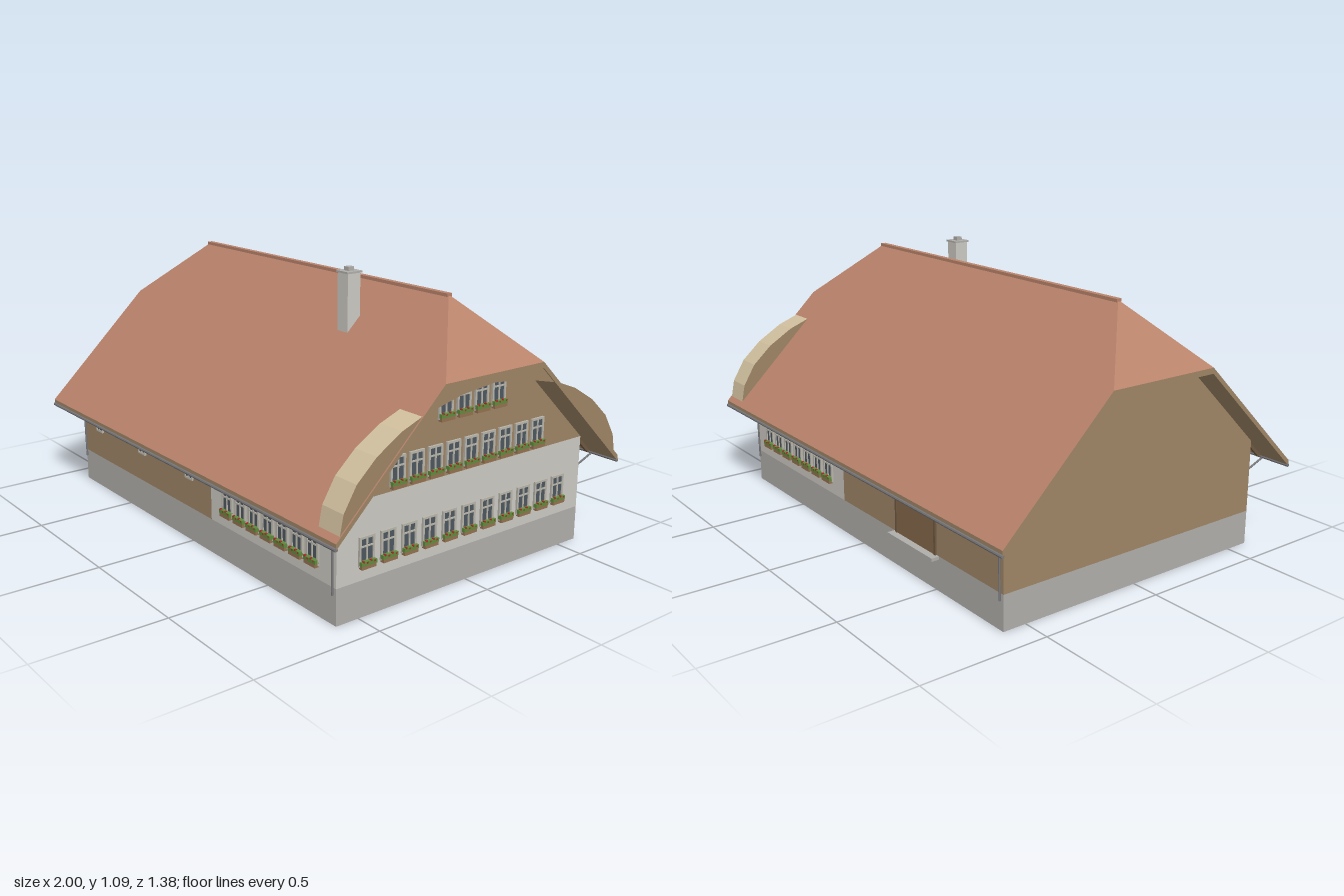
import * as THREE from 'three';

const mat = (color, side = THREE.FrontSide) =>
  new THREE.MeshStandardMaterial({ color, side, flatShading: true });
const DS = THREE.DoubleSide;
const M = {
  roof: mat(0xba836b, DS), wood: mat(0x9e8566, DS), plaster: mat(0xccc9c2, DS),
  stone: mat(0xb0aeaa, DS), cream: mat(0xd0bf9e), frame: mat(0xb8b5aa), glass: mat(0x4c565f),
  box: mat(0x94704f), leaf: mat(0x5f8a3c), flower: mat(0xb02a2a), metal: mat(0x77777a),
  door: mat(0x85694a), beam: mat(0x6e5840),
};

// Wall, roof and eave dimensions
const WX = 0.89, WZ = 0.595, BASE = 0.135, T = 0.022;
const roofY = z => 1.02 - 0.97 * Math.abs(z);
const EZ = 0.685, HZ = 0.235, RX = 0.76;
const WALL_TOP = roofY(WZ) - T;

function add(parent, name, geo, material, x = 0, y = 0, z = 0) {
  const m = new THREE.Mesh(geo, material);
  m.name = name;
  m.position.set(x, y, z);
  parent.add(m);
  return m;
}
const box = (parent, name, material, w, h, d, x, y, z) =>
  add(parent, name, new THREE.BoxGeometry(w, h, d), material, x, y, z);

// Flat convex faces, each a list of corners in counter-clockwise order
function faces(list) {
  const pos = [];
  for (const p of list)
    for (let i = 1; i < p.length - 1; i++) pos.push(...p[0], ...p[i], ...p[i + 1]);
  const g = new THREE.BufferGeometry();
  g.setAttribute('position', new THREE.Float32BufferAttribute(pos, 3));
  g.computeVertexNormals();
  return g;
}
const turn = p => p.map(([x, y, z]) => [-x, y, -z]);
const shapeOf = pts => new THREE.Shape(pts.map(p => new THREE.Vector2(...p)));

function makeRoof() {
  const g = new THREE.Group();
  g.name = 'roof';
  const slope = [[-1, roofY(EZ), EZ], [1, roofY(EZ), EZ], [1, roofY(HZ), HZ],
    [RX, 1.02, 0], [-RX, 1.02, 0], [-1, roofY(HZ), HZ]];
  const hip = [[1, roofY(HZ), HZ], [1, roofY(HZ), -HZ], [RX, 1.02, 0]];
  const top = [slope, turn(slope), hip, turn(hip)];
  add(g, 'roofTiles', faces(top), M.roof);
  const lower = ([x, y, z]) => [x, y - T, z];
  add(g, 'roofUnderside', faces(top.map(p => p.map(lower).reverse())), M.wood);
  const half = [slope[0], slope[1], slope[2]];
  const loop = [...half, ...turn(half)];
  // the outline also passes the second hip corner of each end
  loop.splice(3, 0, hip[1]);
  loop.push(slope[5]);
  add(g, 'roofEdge', faces(loop.map((a, i) => {
    const b = loop[(i + 1) % loop.length];
    return [lower(a), lower(b), b, a];
  })), M.wood);
  box(g, 'ridgeCap', M.roof, 2 * RX + 0.01, 0.012, 0.022, 0, 1.019, 0);

  // Rafter tails, gutters and downpipes along both eaves
  for (const s of [1, -1]) {
    for (let i = 0; i < 25; i++) {
      const r = box(g, 'rafterTail', M.beam, 0.012, 0.014, 0.12,
        -0.87 + i * 0.0725, roofY(0.625) - T - 0.008, s * 0.625);
      r.rotation.x = s * Math.atan(0.97);
    }
    const gutter = add(g, 'gutter', new THREE.CylinderGeometry(0.007, 0.007, 2, 8),
      M.metal, 0, 0.335, s * 0.684);
    gutter.rotation.z = Math.PI / 2;
    for (const x of [-0.877, 0.877]) {
      const pts = [[0.683, 0.331], [0.603, 0.3], [0.601, 0.11]]
        .map(([z, y]) => new THREE.Vector3(x, y, s * z));
      const path = new THREE.CurvePath();
      path.add(new THREE.LineCurve3(pts[0], pts[1]));
      path.add(new THREE.LineCurve3(pts[1], pts[2]));
      add(g, 'downpipe', new THREE.TubeGeometry(path, 24, 0.004, 6), M.metal);
    }
  }
  return g;
}

function makeWalls() {
  const g = new THREE.Group();
  g.name = 'walls';
  const split = 0.14;
  const long = (name, m, x0, x1, y0, y1, z) =>
    add(g, name, faces([z > 0
      ? [[x0, y0, z], [x1, y0, z], [x1, y1, z], [x0, y1, z]]
      : [[x1, y0, z], [x0, y0, z], [x0, y1, z], [x1, y1, z]]]), m);
  for (const z of [WZ, -WZ]) {
    long('baseWall', M.stone, -WX, WX, 0, BASE, z);
    long('timberWall', M.wood, -WX, split, BASE, WALL_TOP, z);
    long('plasterWall', M.plaster, split, WX, BASE, WALL_TOP, z);
  }
  // End walls reach up to the underside of the hips
  const end = (name, m, s, pts) => add(g, name, faces([
    [...pts.map(([z, y]) => [s * WX, y, s * z]),
      ...pts.slice().reverse().map(([z, y]) => [s * WX, y, -s * z])]]), m);
  const gable = [[WZ, WALL_TOP], [0.13, 0.871]].reverse();
  for (const s of [1, -1]) {
    end('endBase', M.stone, s, [[WZ, BASE], [WZ, 0]]);
    end('endWall', s > 0 ? M.plaster : M.wood, s, [[WZ, WALL_TOP], [WZ, BASE]]);
    end('gableWall', M.wood, s, gable);
  }
  return g;
}

// Curved gable canopy: side fillings above the roof and a soffit between them
function makeArch() {
  const g = new THREE.Group();
  g.name = 'gableArch';
  const curve = [[0.685, 0.335], [0.667, 0.37], [0.652, 0.444], [0.6, 0.53],
    [0.519, 0.604], [0.415, 0.667], [0.311, 0.707]];
  const soffit = [[-0.3, 0.707], [-0.15, 0.742], [0, 0.757], [0.15, 0.742], [0.3, 0.707],
    [HZ, 0.772], [-HZ, 0.772]];
  const put = (name, pts, mats) => {
    const geo = new THREE.ExtrudeGeometry(shapeOf(pts), { depth: 0.107, bevelEnabled: false });
    add(g, name, geo, mats, 0.888).rotation.y = Math.PI / 2;
  };
  for (const s of [1, -1])
    put('archSide', curve.map(([z, y]) => [s * z, y]), [M.wood, M.cream]);
  put('archSoffit', soffit, [M.wood, M.wood]);
  return g;
}

// Window frame with two columns and two rows of panes
function frameGeometry(w, h, bar) {
  const rect = (C, x0, y0, x1, y1) => new C([[x0, y0], [x1, y0], [x1, y1], [x0, y1]]
    .map(p => new THREE.Vector2(...p)));
  const s = rect(THREE.Shape, -w / 2, -h / 2, w / 2, h / 2);
  const rows = [[-h / 2 + bar, h * 0.14], [h * 0.14 + bar * 0.7, h / 2 - bar]];
  for (const [y0, y1] of rows) {
    s.holes.push(rect(THREE.Path, -w / 2 + bar, y0, -bar * 0.35, y1));
    s.holes.push(rect(THREE.Path, bar * 0.35, y0, w / 2 - bar, y1));
  }
  return new THREE.ExtrudeGeometry(s, { depth: 0.008, bevelEnabled: false });
}
const tallFrame = frameGeometry(0.066, 0.106, 0.008);
const smallFrame = frameGeometry(0.055, 0.052, 0.007);

function makeWindow(flowers) {
  const g = new THREE.Group();
  g.name = flowers ? 'flowerWindow' : 'smallWindow';
  const [w, h] = flowers ? [0.062, 0.1] : [0.05, 0.047];
  add(g, 'windowFrame', flowers ? tallFrame : smallFrame, M.frame);
  box(g, 'windowGlass', M.glass, w, h, 0.012, 0, 0, -0.002);
  if (flowers) {
    box(g, 'flowerBox', M.box, 0.062, 0.014, 0.016, 0, -0.052, 0.011);
    box(g, 'leaves', M.leaf, 0.066, 0.014, 0.018, 0, -0.039, 0.011);
    for (let i = 0; i < 4; i++)
      box(g, 'blossom', M.flower, 0.006, 0.006, 0.008, -0.024 + i * 0.016, -0.031 - (i % 2) * 0.005, 0.017);
  }
  return g;
}

function makeWindows() {
  const g = new THREE.Group();
  g.name = 'windows';
  const put = (flowers, x, y, z, ry) => {
    const w = makeWindow(flowers);
    w.position.set(x, y, z);
    w.rotation.y = ry;
    g.add(w);
  };
  // Gable rows: count, spacing, height
  for (const [n, step, y] of [[11, 0.094, 0.24], [9, 0.085, 0.491], [4, 0.085, 0.684]])
    for (let i = 0; i < n; i++) put(true, WX, y, (i - (n - 1) / 2) * step, Math.PI / 2);
  // Long walls
  for (let i = 0; i < 7; i++) {
    put(true, 0.256 + i * 0.0855, 0.24, WZ, 0);
    put(true, 0.256 + i * 0.0855, 0.24, -WZ, Math.PI);
  }
  for (const x of [-0.745, -0.375, -0.01]) put(false, x, 0.279, WZ, 0);
  return g;
}

export function createModel() {
  const model = new THREE.Group();
  model.name = 'farmhouse';
  model.add(makeWalls(), makeRoof(), makeArch(), makeWindows());

  // Back door with its frame and step
  const door = new THREE.Group();
  door.name = 'backDoor';
  box(door, 'doorLeaf', M.door, 0.24, 0.18, 0.008, -0.375, 0.225, -WZ);
  for (const x of [-0.5, -0.25]) box(door, 'doorPost', M.beam, 0.01, 0.19, 0.014, x, 0.23, -WZ);
  box(door, 'doorLintel', M.beam, 0.26, 0.01, 0.014, -0.375, 0.32, -WZ);
  box(door, 'doorStep', M.stone, 0.29, 0.012, 0.032, -0.375, 0.129, -WZ - 0.016);
  model.add(door);

  // Chimney
  const chimney = new THREE.Group();
  chimney.name = 'chimney';
  box(chimney, 'chimneyStack', M.plaster, 0.058, 0.23, 0.058, 0.398, 0.95, 0.148);
  box(chimney, 'chimneyCap', M.stone, 0.068, 0.007, 0.068, 0.398, 1.067, 0.148);
  box(chimney, 'chimneyPot', M.stone, 0.026, 0.016, 0.026, 0.398, 1.077, 0.148);
  model.add(chimney);
  return model;
}
